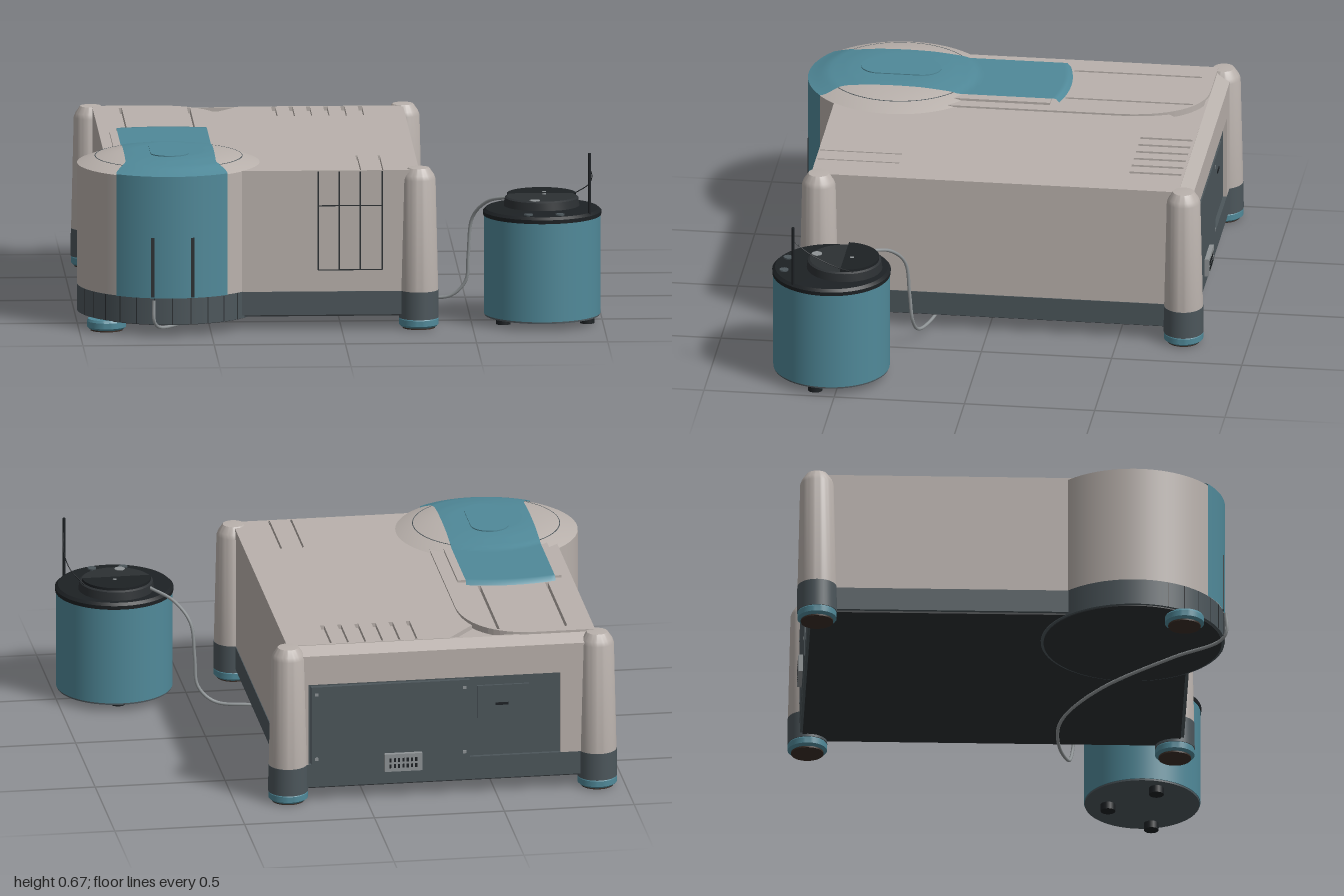
import * as THREE from 'three';
import { toCreasedNormals } from 'three/addons/utils/BufferGeometryUtils.js';

const mat = (color) => new THREE.MeshStandardMaterial({ color, side: THREE.DoubleSide });
const beige = mat(0xb9b1ac), teal = mat(0x508999), dark = mat(0x4c565b), black = mat(0x1d2124);
const under = mat(0x2c3033), rubber = mat(0x3c2f28), grey = mat(0x8f9496);

export function createModel() {
  const model = new THREE.Group();

  function add(name, geometry, material, x = 0, y = 0, z = 0, parent = model) {
    const mesh = new THREE.Mesh(geometry, material);
    mesh.name = name;
    mesh.position.set(x, y, z);
    parent.add(mesh);
    return mesh;
  }
  // Box given by its lower and upper limits
  const box = (name, m, x0, x1, y0, y1, z0, z1) =>
    add(name, new THREE.BoxGeometry(x1 - x0, y1 - y0, z1 - z0), m,
      (x0 + x1) / 2, (y0 + y1) / 2, (z0 + z1) / 2);
  const lathe = (pts, seg = 48) => toCreasedNormals(
    new THREE.LatheGeometry(pts.map(([r, y]) => new THREE.Vector2(r, y)), seg), 0.5);
  const cyl = (name, m, r, y0, y1, x, z, parent, seg = 32) =>
    add(name, new THREE.CylinderGeometry(r, r, y1 - y0, seg), m, x, (y0 + y1) / 2, z, parent);
  // Horizontal plate: outline and slots in (x, z), between two heights
  const slot = (x, z0, z1, w) => new THREE.Path([[x - w, z0], [x + w, z0], [x + w, z1], [x - w, z1]]
    .map(([a, b]) => new THREE.Vector2(a, -b)));
  function plate(name, m, shape, y0, y1, holes = []) {
    shape.holes.push(...holes);
    const g = new THREE.ExtrudeGeometry(shape, { depth: y1 - y0, bevelEnabled: false, curveSegments: 16 });
    return add(name, g.rotateX(-Math.PI / 2), m, 0, y0, 0);
  }

  // Main case
  box('caseBody', beige, -0.89, 0.295, 0.145, 0.597, -0.745, 0.68);
  box('baseBand', dark, -0.893, 0.298, 0.057, 0.147, -0.78, 0.683);
  box('basePlate', under, -0.88, 0.285, 0.05, 0.057, -0.77, 0.67);

  // Top panels, with ventilation slots and grooves
  const right = new THREE.Shape();
  right.moveTo(-0.4, -0.68);
  right.lineTo(0.295, -0.68);
  right.lineTo(0.295, 0.73);
  right.lineTo(-0.33, 0.73);
  right.lineTo(-0.435, 0.6);
  right.quadraticCurveTo(-0.4, 0.52, -0.4, 0.4);
  const vents = [];
  for (let i = 0; i < 6; i++) vents.push(slot(-0.2 + i * 0.066, -0.72, -0.52, 0.008));
  plate('rightTopPanel', beige, right, 0.595, 0.614,
    [...vents, slot(0.07, 0.36, 0.675, 0.004), slot(0.155, 0.36, 0.675, 0.004)]);

  const left = new THREE.Shape();
  left.moveTo(-0.89, -0.4);
  left.lineTo(-0.4, -0.4);
  left.lineTo(-0.4, 0.4);
  left.bezierCurveTo(-0.4, 0.6, -0.5, 0.73, -0.66, 0.73);
  left.lineTo(-0.89, 0.73);
  plate('leftTopPanel', beige, left, 0.595, 0.621,
    [slot(-0.785, -0.68, -0.19, 0.006), slot(-0.525, -0.68, -0.19, 0.006)]);
  box('bandRest', beige, -0.85, -0.45, 0.6, 0.63, -0.14, 0.3);

  // Rear frame, recessed panel and sockets
  const lip = new THREE.Shape([[-0.72, 0.47], [-0.78, 0.47], [-0.78, 0.585], [-0.73, 0.612], [-0.72, 0.612]]
    .map(([z, y]) => new THREE.Vector2(z, y)));
  add('rearLip', new THREE.ExtrudeGeometry(lip, { depth: 1.185, bevelEnabled: false })
    .rotateY(-Math.PI / 2), beige, 0.295);
  box('rearFrameLeft', beige, 0.22, 0.295, 0.147, 0.48, -0.78, -0.74);
  box('rearFrameRight', beige, -0.89, -0.75, 0.147, 0.48, -0.78, -0.74);
  box('rearPanel', dark, -0.75, 0.22, 0.1, 0.47, -0.765, -0.74);
  box('rearCover', dark, -0.4, 0.21, 0.09, 0.46, -0.783, -0.76);
  box('rearHatch', dark, -0.63, -0.43, 0.3, 0.43, -0.775, -0.76);
  box('hatchLatch', black, -0.55, -0.5, 0.35, 0.36, -0.778, -0.77);
  box('rearConnector', grey, -0.215, -0.07, 0.11, 0.18, -0.8, -0.78);
  for (let row = 0; row < 2; row++)
    for (let i = 0; i < 7; i++) {
      const x = -0.195 + i * 0.0165;
      box('connectorPin', black, x, x + 0.008, 0.125 + row * 0.024, 0.14 + row * 0.024, -0.802, -0.798);
    }
  for (const x of [-0.38, 0.19])
    for (const y of [0.17, 0.43]) box('coverScrew', grey, x - 0.006, x + 0.006, y - 0.006, y + 0.006, -0.785, -0.78);

  // Front panel seams
  for (const x of [-0.09, -0.01, 0.07, 0.155])
    box('frontSeam', under, x - 0.003, x + 0.003, 0.23, 0.61, 0.675, 0.682);
  for (const y of [0.23, 0.478])
    box('frontCrossSeam', under, -0.09, 0.155, y - 0.002, y + 0.002, 0.675, 0.6815);

  // Corner posts and feet
  const postGeometry = lathe([[0, 0.145], [0.074, 0.145], [0.064, 0.575], [0.058, 0.592], [0.04, 0.618], [0, 0.621]]);
  for (const [x, z] of [[0.295, -0.75], [0.295, 0.65], [-0.895, -0.75], [-0.895, 0.65]]) {
    const post = new THREE.Group();
    post.name = 'cornerPost';
    post.position.set(x, 0, z);
    model.add(post);
    if (x > 0 || z < 0) {
      add('postColumn', postGeometry, beige, 0, 0, 0, post);
      add('postBand', new THREE.CylinderGeometry(0.075, 0.076, 0.107, 40), dark, 0, 0.0935, 0, post);
    }
    add('foot', lathe([[0, 0.045], [0.07, 0.045], [0.075, 0.036], [0.075, 0.014], [0.066, 0.006], [0, 0.006]]),
      teal, 0, 0, 0, post);
    cyl('footPad', rubber, 0.062, 0, 0.008, 0, 0, post);
  }

  // Round turret at the front corner
  const cx = -0.65, cz = 0.46, R = 0.349;
  const domeProfile = [[0, 0.656], [0.15, 0.655], [0.2, 0.651], [0.28, 0.639], [R, 0.613]];
  cyl('turretWall', beige, R, 0.147, 0.613, cx, cz, model, 72);
  add('turretDome', lathe([...domeProfile].reverse(), 72), beige, cx, 0, cz);
  cyl('turretSkirt', dark, R + 0.001, 0.046, 0.148, cx, cz, model, 72);
  cyl('turretBase', under, R - 0.01, 0.042, 0.05, cx, cz, model, 72);
  add('domeSeam', new THREE.TorusGeometry(0.28, 0.002, 6, 72).rotateX(Math.PI / 2), dark, cx, 0.638, cz);
  for (let i = -6; i <= 6; i++) {
    const a = i * 0.2;
    add('skirtRib', new THREE.BoxGeometry(0.004, 0.1, 0.004).rotateY(a), under,
      cx + R * Math.sin(a), 0.097, cz + R * Math.cos(a));
  }

  // Coloured band: over the top, then down the front of the turret
  const domeHeight = (r) => {
    for (let i = 1; i < domeProfile.length; i++) {
      const [r0, y0] = domeProfile[i - 1], [r1, y1] = domeProfile[i];
      if (r <= r1) return y0 + (y1 - y0) * (r - r0) / (r1 - r0);
    }
    return 0.613;
  };
  const band = new THREE.PlaneGeometry(2, 1, 20, 60);
  const p = band.attributes.position;
  for (let i = 0; i < p.count; i++) {
    const u = p.getX(i), v = 0.5 - p.getY(i);
    const flare = THREE.MathUtils.smoothstep(v, 0.86, 1);
    const dx = u * (0.172 + 0.04 * flare);
    const back = -0.2 + 0.025 * u * u;
    const front = cz + Math.sqrt(0.352 ** 2 - dx * dx);
    const z = back + (front - back) * v;
    let y = domeHeight(Math.hypot(dx, z - cz));
    if (z < cz) y = Math.max(y, 0.632);
    p.setXYZ(i, cx + dx, v === 0 ? 0.618 : y + 0.004, z);
  }
  band.computeVertexNormals();
  add('topBand', band, teal);
  add('frontBand', new THREE.CylinderGeometry(0.352, 0.352, 0.47, 32, 1, true, -0.645, 1.29), teal, cx, 0.382, cz);
  for (const s of [-1, 1])
    box('frontBandSlot', under, cx + s * 0.075 - 0.008, cx + s * 0.075 + 0.008, 0.15, 0.38, 0.78, 0.805);

  // Raised oval on the dome
  const oval = new THREE.Shape();
  oval.absarc(cx, -0.375, 0.073, 0, Math.PI);
  oval.absarc(cx, -0.537, 0.073, Math.PI, Math.PI * 2);
  plate('ovalPad', teal, oval, 0.645, 0.663);

  // Separate canister
  const can = new THREE.Group();
  can.name = 'canister';
  can.position.set(0.77, 0, 0.54);
  model.add(can);
  cyl('canisterBody', teal, 0.222, 0.035, 0.42, 0, 0, can, 64);
  cyl('canisterBottom', dark, 0.219, 0.028, 0.037, 0, 0, can, 64);
  add('canisterLid', lathe([[0, 0.415], [0.225, 0.415], [0.226, 0.43], [0.215, 0.44], [0, 0.444]], 64), black, 0, 0, 0, can);
  add('lidKnob', lathe([[0.145, 0.435], [0.14, 0.472], [0.132, 0.477], [0, 0.477]]), under, 0, 0, -0.05, can);
  add('knobRidge', new THREE.CylinderGeometry(0.132, 0.132, 0.014, 32, 1, false, Math.PI / 2, Math.PI), black, 0, 0.48, -0.05, can);
  cyl('knobHub', grey, 0.008, 0.47, 0.488, 0.01, -0.08, can, 16);
  cyl('lidButton', grey, 0.02, 0.44, 0.479, -0.03, 0.06, can, 20);
  for (const x of [-0.06, 0.06]) cyl('lidLamp', dark, 0.017, 0.435, 0.446, x, 0.175, can, 20);
  for (const [x, z] of [[-0.15, 0.05], [0.17, 0.04], [0.005, -0.13]])
    cyl('canisterFoot', black, 0.028, 0, 0.032, x, z, can, 20);
  cyl('antenna', black, 0.006, 0.42, 0.67, 0.175, 0.125, can, 12);

  // Wires
  const wire = (name, m, r, pts) => add(name, new THREE.TubeGeometry(
    new THREE.CatmullRomCurve3(pts.map((q) => new THREE.Vector3(...q))), 120, r, 8), m);
  wire('antennaWire', black, 0.0018,
    [[0.945, 0.615, 0.665], [0.957, 0.57, 0.6], [0.945, 0.52, 0.51], [0.9, 0.478, 0.44]]);
  wire('cable', grey, 0.0065, [[0.65, 0.46, 0.42], [0.57, 0.43, 0.34], [0.515, 0.36, 0.29], [0.5, 0.22, 0.275],
    [0.49, 0.11, 0.265], [0.43, 0.05, 0.25], [0.295, 0.043, 0.21], [0.05, 0.04, 0.21], [-0.25, 0.036, 0.35],
    [-0.55, 0.033, 0.62], [-0.7, 0.033, 0.79], [-0.72, 0.06, 0.815], [-0.722, 0.14, 0.812]]);

  return model;
}
